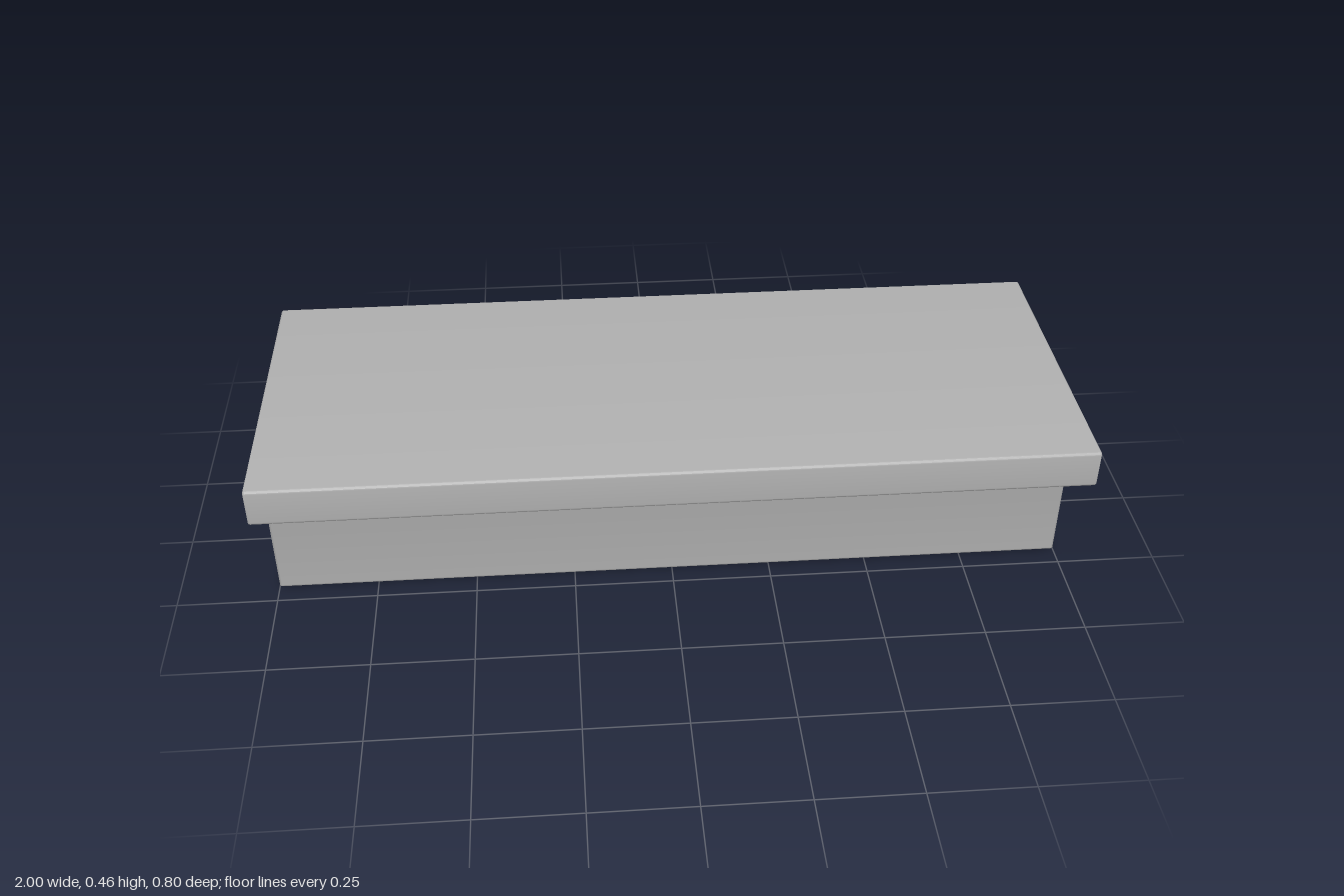
import * as THREE from 'three';
import { toCreasedNormals } from 'three/addons/utils/BufferGeometryUtils.js';

const BEVEL = 0.006;
const RADIUS = 0.008;

// Closed outline whose corners are all softened by the same radius
function roundedOutline(corners, radius) {
  const points = corners.map(([x, y]) => new THREE.Vector2(x, y));
  const shape = new THREE.Shape();
  points.forEach((p, i) => {
    const prev = points[(i + points.length - 1) % points.length];
    const next = points[(i + 1) % points.length];
    const start = p.clone().add(prev.clone().sub(p).setLength(radius));
    const end = p.clone().add(next.clone().sub(p).setLength(radius));
    if (i === 0) shape.moveTo(start.x, start.y);
    else shape.lineTo(start.x, start.y);
    shape.quadraticCurveTo(p.x, p.y, end.x, end.y);
  });
  shape.closePath();
  return shape;
}

export function createModel() {
  const model = new THREE.Group();
  model.name = 'ledgeBlock';

  const grey = new THREE.MeshStandardMaterial({ color: 0xb0b0b0 });
  grey.name = 'plain grey';

  // Side profile: solid base with a slab overhanging the front
  const profile = roundedOutline([
    [-0.2, 0], [0.4, 0], [0.4, 0.46],
    [-0.4, 0.46], [-0.4, 0.363], [-0.2, 0.363],
  ], RADIUS);

  const geometry = new THREE.ExtrudeGeometry(profile, {
    depth: 2 - 2 * BEVEL,
    curveSegments: 4,
    bevelEnabled: true,
    bevelThickness: BEVEL,
    bevelSize: BEVEL,
    bevelOffset: -BEVEL,
    bevelSegments: 3,
  });
  geometry.translate(0, 0, -(1 - BEVEL));
  geometry.rotateY(Math.PI / 2); // run the profile along x, overhang to +z

  const block = new THREE.Mesh(toCreasedNormals(geometry, 0.6), grey);
  block.name = 'overhangingBlock';
  model.add(block);
  return model;
}
